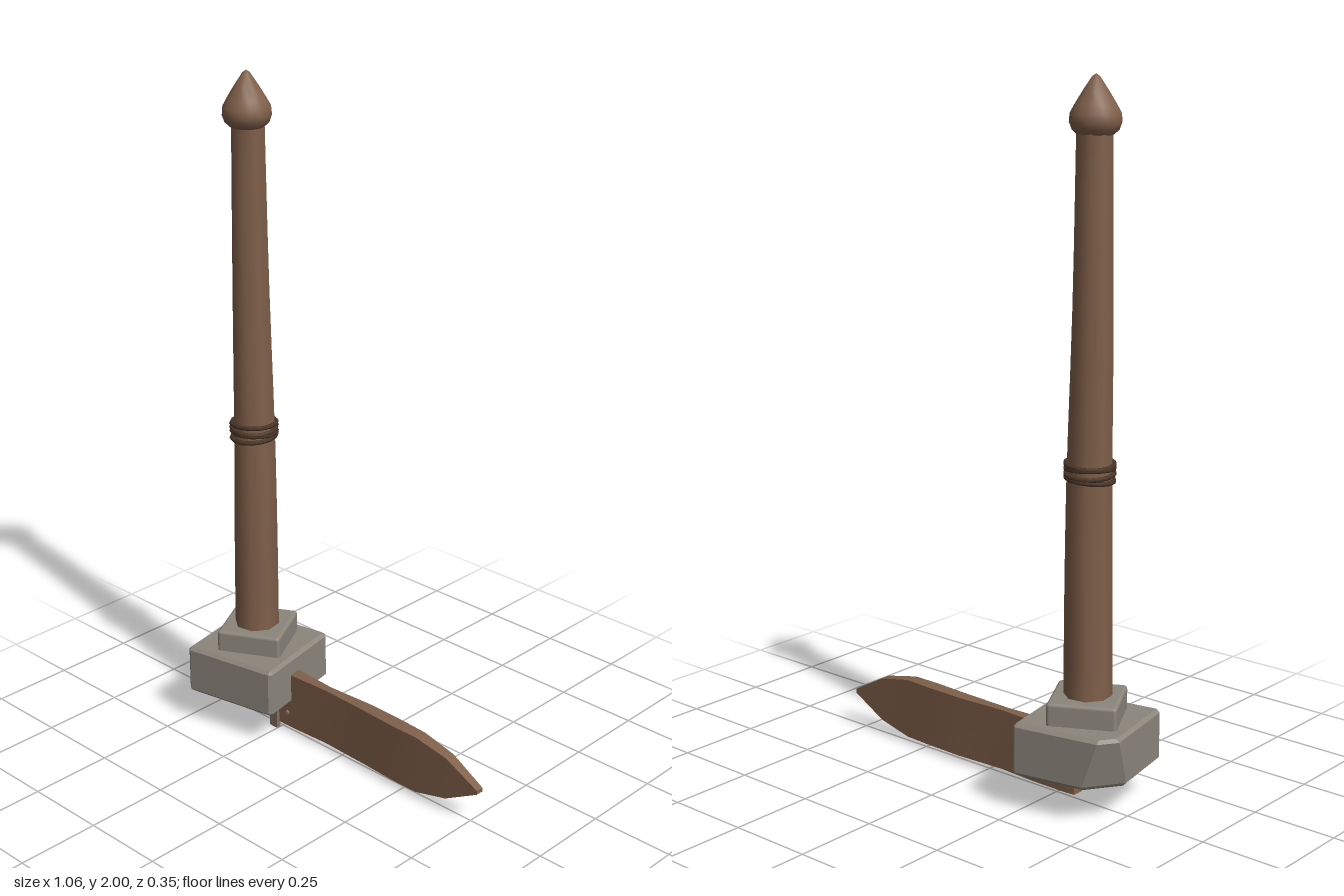
import * as THREE from 'three';
import { toCreasedNormals } from 'three/addons/utils/BufferGeometryUtils.js';
import { RoundedBoxGeometry } from 'three/addons/geometries/RoundedBoxGeometry.js';
import { ConvexGeometry } from 'three/addons/geometries/ConvexGeometry.js';

const PX = -0.357; // post axis

function material(name, color) {
  const m = new THREE.MeshStandardMaterial({ color });
  m.name = name;
  return m;
}

// Linear interpolation through rows of [key, ...values]
function sample(rows, t) {
  let i = 0;
  while (i < rows.length - 2 && t > rows[i + 1][0]) i++;
  const a = rows[i], b = rows[i + 1];
  const f = THREE.MathUtils.clamp((t - a[0]) / (b[0] - a[0]), 0, 1);
  return a.map((v, k) => v + (b[k] - v) * f);
}

// Move every vertex by a rule
function warp(geometry, rule) {
  const p = geometry.attributes.position, v = new THREE.Vector3();
  for (let i = 0; i < p.count; i++) {
    rule(v.fromBufferAttribute(p, i));
    p.setXYZ(i, v.x, v.y, v.z);
  }
  return geometry;
}

export function createModel() {
  const group = new THREE.Group();
  const wood = material('wood', 0x80604a);
  const stone = material('stone', 0x8c867b);
  const rope = material('rope', 0x4a3526);
  const peg = material('peg', 0x84705f);

  const add = (name, geometry, mat, x = 0, y = 0, z = 0) => {
    const mesh = new THREE.Mesh(geometry, mat);
    mesh.name = name;
    mesh.position.set(x, y, z);
    group.add(mesh);
    return mesh;
  };

  // Slightly crooked, tapering post: y, centre x, centre z, radius
  const postRows = [
    [0.24, -0.357, 0, 0.068], [0.65, -0.354, 0, 0.066], [0.95, -0.353, -0.001, 0.062],
    [1.2, -0.36, -0.005, 0.058], [1.45, -0.363, -0.006, 0.054], [1.88, -0.359, -0.003, 0.049],
  ];
  const post = new THREE.CylinderGeometry(1, 1, 1, 8, 10);
  warp(post, v => {
    const y = 0.24 + (v.y + 0.5) * 1.64;
    const [, cx, cz, r] = sample(postRows, y);
    const a = Math.atan2(v.z, v.x) + 0.2 + y * 0.08;
    const k = Math.hypot(v.x, v.z) * r;
    v.set(cx + Math.cos(a) * k, y, cz + Math.sin(a) * k);
  });
  add('post', toCreasedNormals(post, 0.9), wood);

  // Pointed cap
  const capProfile = [[0, 1.845], [0.048, 1.845], [0.062, 1.858], [0.069, 1.878], [0.067, 1.9],
    [0.055, 1.922], [0.035, 1.955], [0.01, 1.993], [0, 2]].map(([r, y]) => new THREE.Vector2(r, y));
  add('cap', toCreasedNormals(new THREE.LatheGeometry(capProfile, 20), 0.7), wood, -0.359, 0, 0);

  // Rope wound around the post
  [[0.932, 0.05, 0.06], [0.947, -0.07, 0.03], [0.961, 0.06, -0.06], [0.973, -0.04, 0.05]]
    .forEach(([y, tx, ty]) => {
      const ring = new THREE.TorusGeometry(0.066, 0.0065, 6, 14);
      const mesh = add('ropeRing', ring, rope, -0.355, y, -0.001);
      mesh.rotation.set(Math.PI / 2 + tx, ty, 0);
    });

  // Lower stone with softened edges and one chipped corner
  const h = 0.153, hy = 0.076, b = 0.01, points = [];
  for (const sx of [-1, 1]) for (const sy of [-1, 1]) for (const sz of [-1, 1]) {
    if (sx < 0 && sz < 0) {
      const c = sy > 0 ? 0.045 : 0.09;
      points.push([-h + c, sy * hy, -h + b], [-h + b, sy * hy, -h + c],
        [-h + c, sy * (hy - b), -h], [-h, sy * (hy - b), -h + c]);
    } else {
      points.push([sx * h, sy * (hy - b), sz * (h - b)], [sx * (h - b), sy * hy, sz * (h - b)],
        [sx * (h - b), sy * (hy - b), sz * h]);
    }
  }
  const block = new ConvexGeometry(points.map(p => new THREE.Vector3(...p)));
  add('lowerStone', block, stone, PX, 0.18, -0.002).rotation.y = 0.19;

  // Upper stone
  add('upperStone', new RoundedBoxGeometry(0.195, 0.08, 0.195, 2, 0.01), stone, PX, 0.28, -0.003)
    .rotation.y = 0.49;

  // Fallen sign board: x, bottom, top, back z, front z
  const boardRows = [
    [-0.33, 0.02, 0.06, -0.022, 0.014], [-0.31, 0.02, 0.11, -0.024, 0.015],
    [-0.29, 0.02, 0.2, -0.025, 0.015], [-0.18, 0.02, 0.2, -0.024, 0.015],
    [-0.06, 0.02, 0.2, -0.016, 0.009], [0.1, 0.02, 0.2, -0.025, 0.015],
    [0.22, 0.02, 0.2, -0.022, 0.022], [0.31, 0.02, 0.2, -0.017, 0.022],
    [0.42, 0.045, 0.177, -0.014, 0.018], [0.53, 0.104, 0.116, -0.012, 0.012],
  ];
  const n = boardRows.length - 1;
  const board = new THREE.BoxGeometry(1, 1, 1, n, 1, 1);
  warp(board, v => {
    const [x, y0, y1, z0, z1] = boardRows[Math.round((v.x + 0.5) * n)];
    v.set(x, v.y > 0 ? y1 : y0, v.z > 0 ? z1 : z0);
  });
  add('board', toCreasedNormals(board, 0.6), wood);

  // Peg and nail heads at the broken end of the board
  add('peg', new THREE.BoxGeometry(0.03, 0.13, 0.014), peg, -0.266, 0.065, 0.018);
  for (const [x, y] of [[-0.215, 0.065], [-0.31, 0.06]]) {
    const nail = add('nailHead', new THREE.CylinderGeometry(0.008, 0.008, 0.008, 8), peg, x, y, 0.017);
    nail.rotation.x = Math.PI / 2;
  }

  return group;
}
